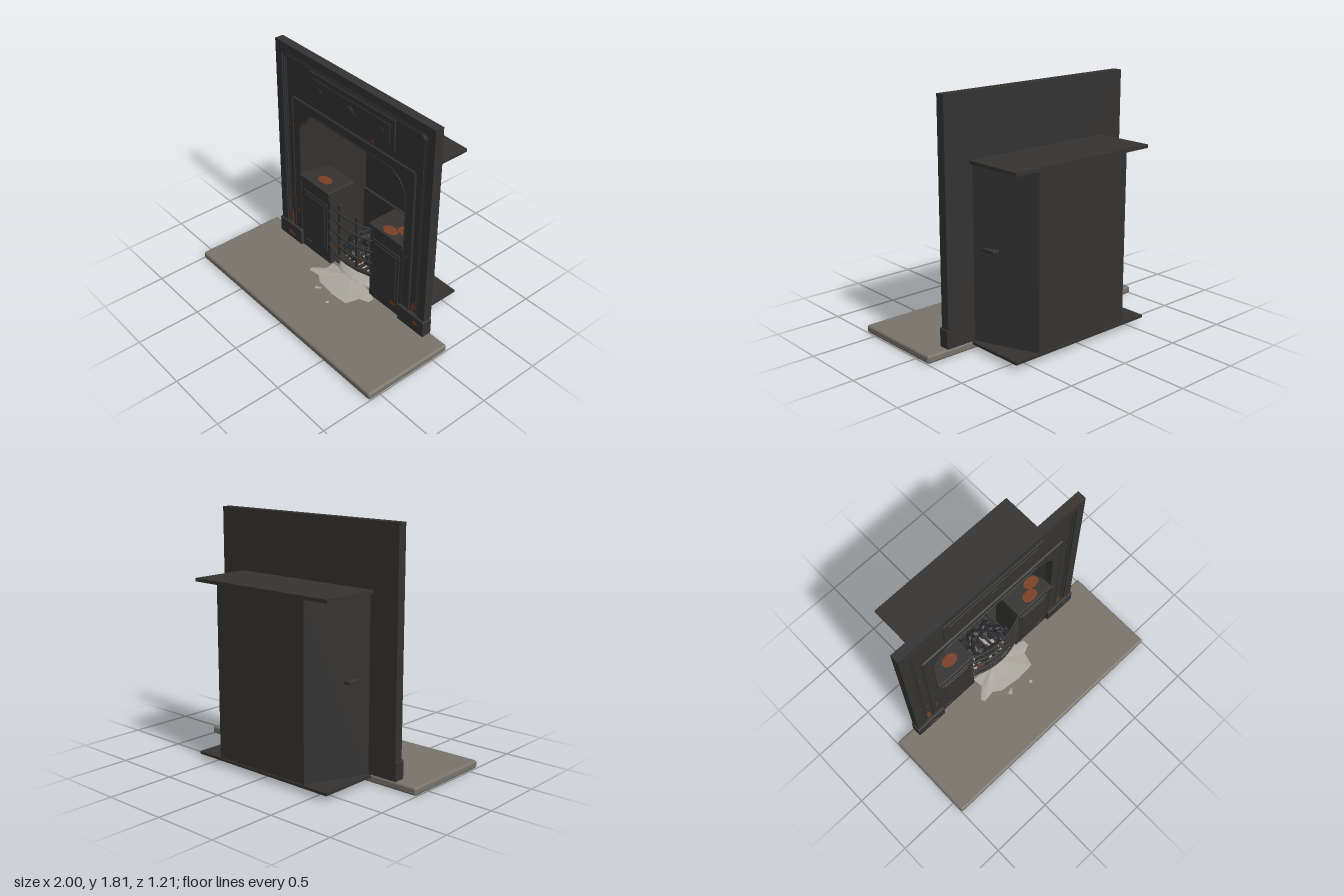
import * as THREE from 'three';
import { RoundedBoxGeometry } from 'three/addons/geometries/RoundedBoxGeometry.js';

const mat = (color, flatShading = false) =>
  new THREE.MeshStandardMaterial({ color, flatShading, side: THREE.DoubleSide });
const iron = mat(0x343332), stone = mat(0x78736a), ash = mat(0xaaa69e, true);
const coal = mat(0x2b2c2e, true), rust = mat(0x7a3f24);
const FLOOR = 0.06;

export function createModel() {
  const root = new THREE.Group();
  const add = (name, geo, material = iron, parent = root) => {
    const m = new THREE.Mesh(geo, material);
    m.name = name;
    parent.add(m);
    return m;
  };
  // Box given by its limits
  const box = (name, x0, x1, y0, y1, z0, z1, r = 0, material = iron) => {
    const s = [x1 - x0, y1 - y0, z1 - z0];
    const m = add(name, r ? new RoundedBoxGeometry(...s, 2, r) : new THREE.BoxGeometry(...s), material);
    m.position.set((x0 + x1) / 2, (y0 + y1) / 2, (z0 + z1) / 2);
    return m;
  };
  // Arched opening outline, from bottom left over the top to bottom right
  const archPoints = (w, top, r) => {
    const p = [new THREE.Vector2(-w, FLOOR)];
    for (const [cx, a0] of [[-w + r, Math.PI], [w - r, Math.PI / 2]])
      for (let i = 0; i <= 10; i++) {
        const a = a0 - (i / 10) * Math.PI / 2;
        p.push(new THREE.Vector2(cx + r * Math.cos(a), top - r + r * Math.sin(a)));
      }
    p.push(new THREE.Vector2(w, FLOOR));
    return p;
  };
  // Upside-down U plate between an outer rectangle and an inner arch
  const archPlate = (name, w, top, inner, z0, z1) => {
    const shape = new THREE.Shape([
      new THREE.Vector2(w, FLOOR), new THREE.Vector2(w, top),
      new THREE.Vector2(-w, top), new THREE.Vector2(-w, FLOOR), ...archPoints(...inner)]);
    add(name, new THREE.ExtrudeGeometry(shape, { depth: z1 - z0, bevelEnabled: false })).position.z = z0;
  };
  // Round bead following an arch
  const archBead = (name, w, top, r, z, radius) => {
    const path = new THREE.CurvePath();
    const p = archPoints(w, top, r).map(v => new THREE.Vector3(v.x, v.y, z));
    for (let i = 1; i < p.length; i++)
      if (p[i].distanceTo(p[i - 1]) > 1e-4) path.add(new THREE.LineCurve3(p[i - 1], p[i]));
    add(name, new THREE.TubeGeometry(path, 240, radius, 6));
  };
  // Upright prism from a plan outline of [x, z] points
  const planPrism = (name, pts, y0, y1) => {
    const shape = new THREE.Shape(pts.map(([x, z]) => new THREE.Vector2(x, -z)));
    const g = new THREE.ExtrudeGeometry(shape, { depth: y1 - y0, bevelEnabled: false });
    g.rotateX(-Math.PI / 2).translate(0, y0, 0);
    return add(name, g);
  };

  // Hearth and cast surround
  box('hearthSlab', -1, 1, 0, FLOOR, -0.14, 0.6, 0.018, stone);
  const opening = [0.575, 1.32, 0.2];
  archPlate('surroundPlate', 0.825, 1.81, opening, -0.14, -0.085);
  archPlate('outerBorder', 0.825, 1.81, [0.755, 1.745, 0.04], -0.085, -0.07);
  archBead('outerBead', 0.742, 1.732, 0.04, -0.083, 0.011);
  archBead('innerBead', 0.722, 1.712, 0.03, -0.085, 0.007);
  archPlate('archPanel', 0.655, 1.395, opening, -0.085, -0.078);
  archBead('archPanelBead', 0.655, 1.395, 0.006, -0.08, 0.01);
  archBead('openingLip', 0.578, 1.323, 0.2, -0.079, 0.005);

  // Frieze plaque with bosses
  box('friezePlate', -0.45, 0.45, 1.45, 1.7, -0.09, -0.076, 0.004);
  box('friezePanel', -0.405, 0.405, 1.49, 1.655, -0.08, -0.071, 0.004);
  for (const [x, r] of [[0, 0.04], [-0.325, 0.022], [0.325, 0.022]]) {
    const boss = add('friezeBoss', new THREE.SphereGeometry(r, 20, 12));
    boss.position.set(x, 1.575, -0.071);
    boss.scale.z = 0.25;
  }

  // Splayed firebox
  planPrism('fireboxWalls', [[-0.595, -0.14], [-0.41, -0.595], [0.41, -0.595], [0.595, -0.14],
    [0.575, -0.14], [0.38, -0.575], [-0.38, -0.575], [-0.575, -0.14]], 0.06, 1.33);
  box('fireboxTop', -0.62, 0.62, 1.325, 1.35, -0.605, -0.14);
  box('fireboxFloor', -0.62, 0.62, 0.04, 0.06, -0.605, -0.14);
  box('backRail', -0.38, 0.38, 0.9, 0.93, -0.58, -0.55, 0.006);
  box('lowerBack', -0.38, 0.38, 0.06, 0.5, -0.58, -0.555);

  // Hobs and plinths on both sides
  for (const s of [-1, 1]) {
    const side = (name, x0, x1, ...rest) => box(name, ...(s > 0 ? [x0, x1] : [-x1, -x0]), ...rest);
    planPrism('hobBody', [[0.23, -0.08], [0.572, -0.08], [0.572, -0.14], [0.5, -0.31], [0.23, -0.31]]
      .map(([x, z]) => [s * x, z]), 0.06, 0.72);
    side('hobTop', 0.225, 0.575, 0.725, 0.75, -0.32, -0.06, 0.006);
    side('hobMoulding', 0.235, 0.565, 0.698, 0.726, -0.2, -0.068, 0.006);
    side('hobDoor', 0.26, 0.545, 0.16, 0.62, -0.09, -0.073, 0.007);
    side('hobDoorPanel', 0.285, 0.52, 0.185, 0.595, -0.08, -0.067, 0.006);
    side('plinth', 0.565, 0.835, 0.06, 0.2, -0.14, -0.055, 0.008);
  }

  // Grate: bowed bars, uprights, floor
  for (const y of [0.265, 0.37, 0.475, 0.58, 0.685]) {
    const curve = new THREE.QuadraticBezierCurve3(new THREE.Vector3(-0.25, y, -0.085),
      new THREE.Vector3(0, y, 0.04), new THREE.Vector3(0.25, y, -0.085));
    add('grateBar', new THREE.TubeGeometry(curve, 24, 0.009, 8));
  }
  for (const x of [-0.1, 0.1]) box('grateUpright', x - 0.012, x + 0.012, 0.22, 0.72, -0.076, -0.056, 0.004);
  planPrism('grateFloorEdge', [[-0.23, -0.09], [-0.12, -0.055], [0, -0.042], [0.12, -0.055], [0.23, -0.09]], 0.222, 0.245);
  for (let i = 0; i < 9; i++) {
    const x = -0.2 + i * 0.05;
    box('grateFloorBar', x - 0.01, x + 0.01, 0.222, 0.24, -0.555, -0.08);
  }

  // Coal heap
  let seed = 7;
  const rnd = () => (seed = (seed * 16807) % 2147483647) / 2147483647;
  for (let i = 0; i < 34; i++) {
    const a = rnd() * Math.PI * 2, d = Math.sqrt(rnd());
    const lump = add('coalLump', new THREE.IcosahedronGeometry(0.035 + rnd() * 0.02, 0), coal);
    lump.position.set(d * 0.17 * Math.cos(a), 0.26 + (1 - d) * 0.12, -0.23 + d * 0.12 * Math.sin(a));
    lump.rotation.set(rnd() * 3, rnd() * 3, rnd() * 3);
    lump.scale.y = 0.8;
  }

  // Ash: heap under the grate and an irregular thin spill on the slab
  const heap = add('ashHeap', new THREE.SphereGeometry(1, 18, 6, 0, Math.PI * 2, 0, Math.PI / 2), ash);
  heap.scale.set(0.225, 0.055, 0.18);
  heap.position.set(0, 0.061, -0.23);
  const spill = [[-0.22, -0.1], [-0.21, -0.02], [-0.29, 0.06], [-0.28, 0.09], [-0.18, 0.08], [-0.12, 0.12],
    [0.05, 0.14], [0.2, 0.13], [0.23, 0.02], [0.3, -0.01], [0.3, -0.06], [0.22, -0.1]];
  const cx = 0, cz = -0.1, verts = [], idx = [];
  for (const [t, y] of [[1, 0.0615], [0.6, 0.069], [0, 0.085]])
    for (const [x, z] of spill) verts.push(cx + (x - cx) * t, y, cz + (z - cz) * t);
  const n = spill.length;
  for (let k = 0; k < 2; k++)
    for (let i = 0; i < n - 1; i++) {
      const a = k * n + i, b = a + 1;
      idx.push(a, b, a + n, b, b + n, a + n);
    }
  const spillGeo = new THREE.BufferGeometry();
  spillGeo.setAttribute('position', new THREE.Float32BufferAttribute(verts, 3));
  spillGeo.setIndex(idx);
  spillGeo.computeVertexNormals();
  add('ashSpill', spillGeo, ash);
  for (const [x, z, r] of [[-0.08, 0.18, 0.018], [0.1, 0.225, 0.014], [-0.06, 0.165, 0.01]]) {
    const bit = add('ashFleck', new THREE.CircleGeometry(r, 7).rotateX(-Math.PI / 2), ash);
    bit.position.set(x, 0.0625, z);
  }

  // Rust patches: x, y, z, half width, half height, tilt
  const patches = [
    [-0.7, 0.27, -0.083, 0.02, 0.07, 0.1], [-0.68, 0.12, -0.054, 0.05, 0.018, -0.2],
    [-0.49, 0.142, -0.077, 0.04, 0.014, 0.1], [0.49, 0.142, -0.077, 0.04, 0.014, 0.1],
    [0.75, 0.14, -0.054, 0.03, 0.016, 0], [0.7, 0.25, -0.083, 0.018, 0.045, -0.3],
    [-0.61, 0.37, -0.077, 0.01, 0.025, -0.2], [-0.69, 0.475, -0.083, 0.01, 0.02, 0],
    [0.61, 0.665, -0.077, 0.008, 0.016, -0.4], [-0.7, 1.14, -0.083, 0.006, 0.02, 0],
    [-0.43, 1.438, -0.084, 0.018, 0.006, -0.4], [0.225, 1.43, -0.084, 0.02, 0.012, 0],
    [0.07, 1.568, -0.07, 0.012, 0.009, 0], [-0.23, 1.625, -0.07, 0.016, 0.004, 0],
    [-0.08, 1.12, -0.574, 0.009, 0.04, 0.1], [0.17, 0.69, -0.574, 0.018, 0.07, -0.1],
    [-0.37, 0.655, -0.079, 0.014, 0.005, 0], [0.37, 0.655, -0.079, 0.014, 0.005, 0],
    [-0.15, 0.27, -0.09, 0.045, 0.05, 0.4], [0.09, 0.29, -0.1, 0.03, 0.03, 0]];
  for (const [x, y, z, w, h, tilt] of patches) {
    const p = add('rustPatch', new THREE.CircleGeometry(1, 9), rust);
    p.position.set(x, y, z);
    p.scale.set(w, h, 1);
    p.rotation.z = tilt;
  }
  for (const [x, z] of [[-0.38, -0.16], [0.4, -0.12], [0.48, -0.19]]) {
    const p = add('hobRust', new THREE.CircleGeometry(0.045, 9).rotateX(-Math.PI / 2), rust);
    p.position.set(x, 0.7515, z);
    p.scale.x = 1.5;
  }
  return root;
}
